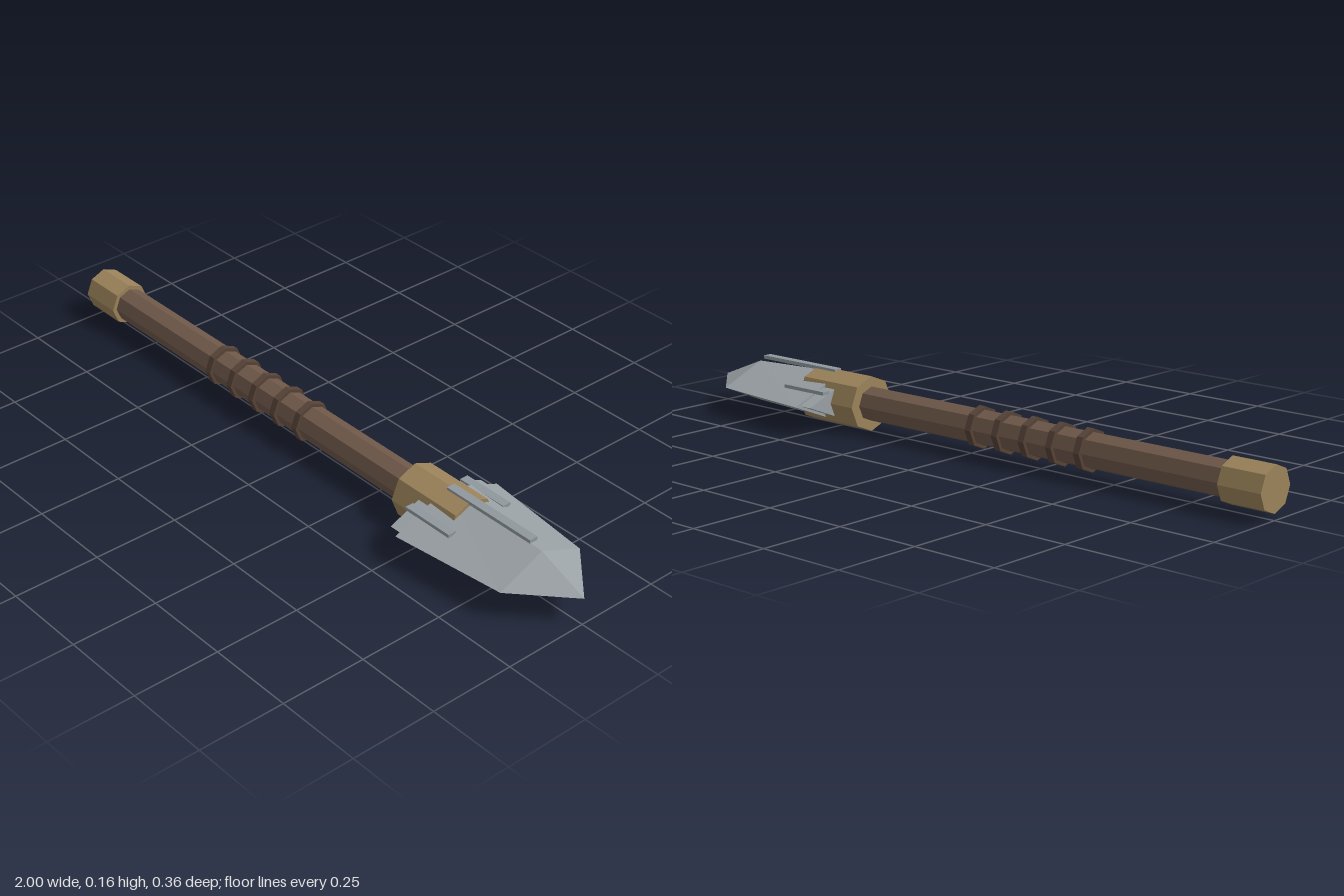
import * as THREE from 'three';

const AXIS_Y = 0.08; // height of the weapon's long axis

const mat = (name, color) => {
  const m = new THREE.MeshStandardMaterial({ color, flatShading: true });
  m.name = name;
  return m;
};

// Diamond cross-sections [x, halfHeight, halfWidth] joined into a closed solid along x
function diamondLoft(sections) {
  const pos = [];
  const ring = ([x, h, w]) => [[x, h, 0], [x, 0, w], [x, -h, 0], [x, 0, -w]];
  const quad = (a, b, c, d) => pos.push(...a, ...b, ...c, ...a, ...c, ...d);
  const rings = sections.map(ring);
  for (let s = 0; s < rings.length - 1; s++) {
    for (let i = 0; i < 4; i++) {
      const j = (i + 1) % 4;
      quad(rings[s][i], rings[s][j], rings[s + 1][j], rings[s + 1][i]);
    }
  }
  const first = rings[0], last = rings[rings.length - 1];
  quad(first[3], first[2], first[1], first[0]);
  quad(last[0], last[1], last[2], last[3]);
  const g = new THREE.BufferGeometry();
  g.setAttribute('position', new THREE.Float32BufferAttribute(pos, 3));
  g.computeVertexNormals();
  return g;
}

export function createModel() {
  const model = new THREE.Group();
  model.name = 'spear';

  const wood = mat('wood', 0x6e5849);
  const wrap = mat('dark leather', 0x564337);
  const brass = mat('brass', 0x9c845a);
  const steel = mat('steel', 0x9aa1a4);
  const trim = mat('steel trim', 0x8f989d);

  const add = (name, geometry, material, x = 0, y = AXIS_Y, z = 0) => {
    const mesh = new THREE.Mesh(geometry, material);
    mesh.name = name;
    mesh.position.set(x, y, z);
    model.add(mesh);
  };

  // Eight-sided bar along x
  const bar = (name, x0, x1, r, material) => {
    const g = new THREE.CylinderGeometry(r, r, x1 - x0, 8).rotateZ(-Math.PI / 2);
    add(name, g, material, (x0 + x1) / 2);
  };

  // Handle
  bar('shaft', -0.9, 0.42, 0.05, wood);
  bar('pommel', -1, -0.87, 0.063, brass);
  bar('collar', 0.385, 0.6, 0.08, brass);

  // Grip rings
  for (let i = 0; i < 5; i++) {
    const x = -0.418 + i * 0.095;
    bar('gripRing', x - 0.01, x + 0.01, 0.06, wrap);
  }

  // Blade and its stepped base
  add('blade', diamondLoft([[0.51, 0.073, 0.18], [0.85, 0.06, 0.14], [1, 0, 0]]), steel);
  add('bladeBase', diamondLoft([[0.47, 0.065, 0.16], [0.53, 0.065, 0.16]]), steel);

  // Raised ribs on the upper face
  add('centreRib', new THREE.BoxGeometry(0.3, 0.01, 0.026), trim, 0.67, 0.157);
  for (const side of [1, -1]) {
    add('sideRib', new THREE.BoxGeometry(0.16, 0.01, 0.026), trim, 0.55, 0.113, side * 0.096);
  }

  return model;
}
